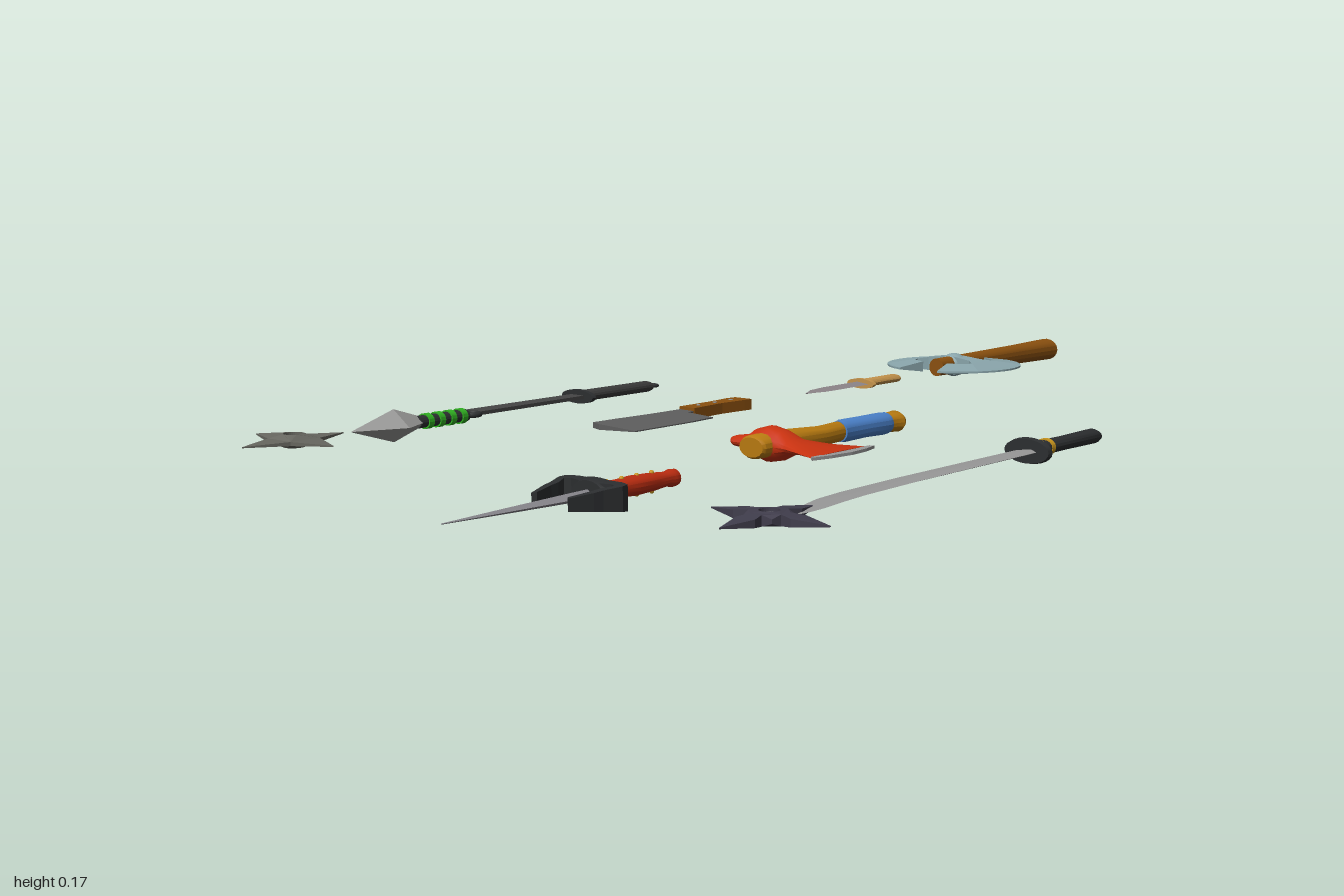
import * as THREE from 'three';
import { toCreasedNormals } from 'three/addons/utils/BufferGeometryUtils.js';

const C = {
  dark: 0x2c2e30, steel: 0x646464, silver: 0x999999, wood: 0x8a500f, ochre: 0xb87a10,
  tan: 0xc4934c, red: 0xc83210, blue: 0x4a80c8, ice: 0x8aa6ac, green: 0x30b022, gold: 0xc8941c,
};

function add(group, name, geo, color) {
  const mesh = new THREE.Mesh(geo, new THREE.MeshStandardMaterial({ color, roughness: 0.7, side: THREE.DoubleSide }));
  mesh.name = name;
  group.add(mesh);
  return mesh;
}

// Elliptic or diamond cross-sections along z; each row is [z, x, halfWidth, halfHeight, ridgeShift]
function loft(rows, sides = 16, crease = 0.7) {
  const pos = [], idx = [];
  for (const [z, x, w, h, ridge = 0] of rows) {
    for (let i = 0; i < sides; i++) {
      const a = (i / sides) * Math.PI * 2;
      pos.push(x + w * Math.cos(a) + ridge * Math.abs(Math.sin(a)), h * Math.sin(a), z);
    }
  }
  const n = rows.length;
  for (let r = 0; r < n - 1; r++) {
    for (let i = 0; i < sides; i++) {
      const a = r * sides + i, b = r * sides + (i + 1) % sides;
      idx.push(a, b, b + sides, a, b + sides, a + sides);
    }
  }
  for (let i = 1; i < sides - 1; i++) {
    const e = (n - 1) * sides;
    idx.push(0, i + 1, i, e, e + i, e + i + 1);
  }
  const g = new THREE.BufferGeometry();
  g.setAttribute('position', new THREE.Float32BufferAttribute(pos, 3));
  g.setIndex(idx);
  return toCreasedNormals(g, crease);
}

// Flat plate in the xz plane; thin(x, z) gives an optional half thickness at each corner
function plate(shape, half, thin) {
  const g = new THREE.ExtrudeGeometry(shape, { depth: 2 * half, bevelEnabled: false, curveSegments: 16 });
  g.translate(0, 0, -half).rotateX(Math.PI / 2);
  if (thin) {
    const p = g.attributes.position;
    for (let i = 0; i < p.count; i++) p.setY(i, Math.sign(p.getY(i)) * thin(p.getX(i), p.getZ(i)));
    g.computeVertexNormals();
  }
  return g;
}
const outline = (pts) => new THREE.Shape(pts.map(([x, z]) => new THREE.Vector2(x, z)));
const ring = (r, tube, z) => new THREE.TorusGeometry(r, tube, 8, 24).rotateX(Math.PI / 2).translate(0, 0, z);

export function createModel() {
  const model = new THREE.Group();
  const item = (name, x, y, z) => {
    const g = new THREE.Group();
    g.name = name;
    g.position.set(x, y, z);
    model.add(g);
    return g;
  };

  // Small knife
  const knife = item('smallKnife', -0.272, 0.054, -0.735);
  add(knife, 'knifeHandle', loft([[-0.143, 0, 0.015, 0.008], [-0.135, 0, 0.02, 0.01], [-0.07, 0, 0.018, 0.01], [0, 0, 0.02, 0.01]]), C.tan);
  add(knife, 'knifeGuard', loft([[-0.006, 0, 0.04, 0.012], [0.006, 0, 0.04, 0.012]]), C.tan);
  add(knife, 'knifeBlade', loft([[0, 0, 0.026, 0.004, -0.01], [0.12, 0.001, 0.028, 0.004, -0.01],
    [0.18, 0.005, 0.023, 0.003], [0.235, 0.012, 0.001, 0.001]], 4, 0.1), 0x8c8488);

  // Double-bladed axe
  const battle = item('doubleAxe', 0.09, 0.141, -0.597);
  add(battle, 'battleAxeHandle', loft([[-0.403, -0.004, 0.031, 0.025], [-0.385, -0.004, 0.029, 0.025], [-0.25, -0.002, 0.022, 0.023],
    [-0.05, 0, 0.02, 0.021], [0.07, 0, 0.019, 0.02]]), C.wood);
  for (const s of [1, -1]) {
    const pts = [[0.01, -0.018], [0.055, -0.022], [0.074, -0.038], [0.068, -0.055], [0.032, -0.075], [0.05, -0.14]];
    const arc = [];
    for (let i = 1; i < 16; i++) {
      const a = (-70 + i * 8.75) * Math.PI / 180;
      arc.push([0.15 * Math.cos(a), 0.15 * Math.sin(a)]);
    }
    const half = [...pts, ...arc, ...pts.map(([x, z]) => [x, -z]).reverse()];
    add(battle, 'battleAxeBlade', plate(outline(half.map(([x, z]) => [s * x, z])), 0.02,
      (x, z) => 0.002 + 0.021 * Math.max(0, 1 - Math.hypot(x, z) / 0.15)), C.ice);
  }
  add(battle, 'battleAxeBoss', new THREE.SphereGeometry(1, 20, 12).scale(0.03, 0.026, 0.033), C.ice);

  // Straight sword
  const straight = item('straightSword', -0.638, 0.054, -0.128);
  add(straight, 'straightPommelRing', ring(0.013, 0.004, -0.25), C.dark);
  add(straight, 'straightGrip', loft([[-0.238, 0, 0.018, 0.011], [-0.23, 0, 0.02, 0.013], [0, 0, 0.02, 0.013]]), 0x3c3c3c);
  add(straight, 'straightGuard', loft([[-0.006, 0, 0.05, 0.016], [0.006, 0, 0.05, 0.016]], 20), C.dark);
  add(straight, 'straightBlade', plate(outline([[-0.02, 0], [0.022, 0], [0.032, 0.48], [0.03, 0.485], [-0.018, 0.465]]), 0.004), 0x454545);
  add(straight, 'straightEdge', plate(outline([[-0.02, 0], [-0.018, 0.478], [-0.026, 0.465], [-0.022, 0]]), 0.002), C.silver);
  add(straight, 'straightTip', plate(outline([[-0.018, 0.46], [0.03, 0.48], [0.033, 0.498], [-0.026, 0.472]]), 0.002), C.silver);

  // Cleaver
  const cleaver = item('cleaver', -0.27, 0.054, -0.09);
  add(cleaver, 'cleaverHandle', plate(outline([[-0.022, -0.192], [0.025, -0.192], [0.024, -0.17], [0.018, -0.1],
    [0.024, 0], [-0.02, 0], [-0.02, -0.1], [-0.026, -0.165]]), 0.012), C.wood);
  for (const z of [-0.15, -0.095, -0.04]) {
    add(cleaver, 'cleaverRivet', new THREE.CylinderGeometry(0.005, 0.005, 0.027, 12).translate(0, 0, z), C.silver);
  }
  add(cleaver, 'cleaverBlade', plate(outline([[-0.018, -0.005], [0.02, -0.005], [0.024, 0.02], [0.096, 0.022], [0.102, 0.1],
    [0.101, 0.272], [0, 0.274], [-0.03, 0.262], [-0.028, 0.2], [-0.02, 0.09]]), 0.005,
    (x) => 0.001 + 0.005 * Math.min(1, (0.105 - x) / 0.1)), 0x5e5e5e);

  // Red hatchet
  const hatchet = item('redHatchet', 0.15, 0.053, 0);
  add(hatchet, 'hatchetHandle', loft([[-0.295, 0.002, 0.022, 0.018], [-0.285, 0.002, 0.027, 0.023], [-0.265, 0, 0.023, 0.021],
    [-0.24, -0.002, 0.022, 0.02], [-0.1, -0.004, 0.022, 0.021], [-0.02, 0.005, 0.021, 0.021], [0.06, -0.006, 0.027, 0.024],
    [0.11, -0.01, 0.033, 0.025], [0.175, -0.009, 0.034, 0.024], [0.182, -0.009, 0.03, 0.02]]), C.ochre);
  add(hatchet, 'hatchetGrip', loft([[-0.25, 0, 0.025, 0.023], [-0.235, 0, 0.028, 0.024], [-0.18, -0.004, 0.026, 0.023],
    [-0.105, -0.003, 0.026, 0.024], [-0.09, -0.001, 0.024, 0.022]]), C.blue);
  add(hatchet, 'hatchetHead', loft([[-0.098, -0.128, 0.012, 0.008], [-0.088, -0.128, 0.021, 0.011], [-0.055, -0.118, 0.03, 0.016],
    [-0.042, -0.117, 0.039, 0.028], [-0.01, -0.117, 0.04, 0.037], [0.025, -0.117, 0.038, 0.03], [0.05, -0.117, 0.038, 0.016],
    [0.1, -0.117, 0.06, 0.009], [0.165, -0.117, 0.092, 0.004]], 16, 0.5).rotateY(Math.PI / 2), C.red);
  add(hatchet, 'hatchetEdge', plate(outline([[0.163, 0.025], [0.172, 0.02], [0.182, 0.06], [0.186, 0.11], [0.18, 0.165],
    [0.168, 0.213], [0.16, 0.207]]), 0.003), C.silver);

  // Curved sword: the blade sweeps to one side near its tip
  const curved = item('curvedSword', 0.583, 0.054, -0.13);
  add(curved, 'curvedGrip', loft([[-0.248, 0, 0.018, 0.012], [-0.24, 0, 0.02, 0.015], [-0.12, 0, 0.018, 0.014], [0, 0, 0.021, 0.015]]), C.dark);
  for (const z of [-0.06, -0.03]) add(curved, 'curvedGripBand', loft([[z - 0.006, 0, 0.021, 0.017], [z + 0.006, 0, 0.021, 0.017]]), C.gold);
  add(curved, 'curvedGuard', loft([[-0.012, 0, 0.042, 0.02], [-0.002, 0, 0.052, 0.026], [0.01, 0, 0.05, 0.024]], 24), C.dark);
  add(curved, 'curvedBlade', loft([[0, 0, 0.023, 0.005, 0.01], [0.2, 0.001, 0.024, 0.005, 0.01], [0.4, 0.003, 0.025, 0.005, 0.01],
    [0.58, 0.01, 0.026, 0.004, 0.01], [0.66, 0.019, 0.026, 0.004, 0.008], [0.72, 0.032, 0.022, 0.003, 0.005],
    [0.755, 0.042, 0.014, 0.002], [0.785, 0.053, 0.001, 0.001]], 4, 0.1), C.silver);

  // Four-pointed throwing stars; quarter is the outline of one arm
  const star = (name, x, quarter, half, hole, color) => {
    const g = item(name, x, 0.054, 0.7);
    const pts = [];
    for (let k = 0; k < 4; k++) {
      const c = Math.round(Math.cos(k * Math.PI / 2)), s = Math.round(Math.sin(k * Math.PI / 2));
      for (const [u, v] of quarter) pts.push([u * c - v * s, u * s + v * c]);
    }
    const shape = outline(pts);
    shape.holes.push(new THREE.Path().absarc(0, 0, hole, 0, Math.PI * 2, true));
    add(g, 'starBody', plate(shape, half, (u, v) => {
      const ridge = Math.min(Math.abs(u), Math.abs(v)) > 0.02 ? 0.35 : 1;
      return 0.001 + half * ridge * Math.max(0, 1 - Math.hypot(u, v) / 0.126);
    }), color);
    add(g, 'starRim', ring(hole + 0.003, 0.004, 0).scale(1, Math.min(2, half / 0.005), 1), color);
  };
  star('plainStar', -0.619, [[0.125, 0], [0.036, 0.036]], 0.015, 0.021, 0x66665f);
  star('darkStar', 0.612, [[0.034, -0.012], [0.06, -0.02], [0.125, 0], [0.06, 0.02], [0.034, 0.012], [0.03, 0.03]], 0.012, 0.018, 0x403d4c);

  // Throwing dagger with ring
  const dagger = item('throwingDagger', -0.234, 0.128, 0.7);
  add(dagger, 'daggerRing', ring(0.017, 0.005, -0.127), C.dark);
  add(dagger, 'daggerGrip', loft([[-0.112, 0, 0.015, 0.012], [0.01, 0, 0.015, 0.012]]), C.dark);
  for (let i = 0; i < 4; i++) {
    const z = -0.098 + i * 0.028;
    add(dagger, 'daggerGripBand', loft([[z - 0.006, 0, 0.018, 0.015], [z + 0.006, 0, 0.018, 0.015]]), C.green);
  }
  add(dagger, 'daggerBlade', loft([[0, 0, 0.012, 0.01], [0.065, 0, 0.045, 0.031], [0.163, 0, 0.001, 0.001]], 4, 0.1), 0x9a9a98);

  // Pronged dagger
  const prong = item('prongedDagger', 0.16, 0.03, 0.64);
  add(prong, 'prongedHandle', loft([[-0.22, 0, 0.01, 0.009], [-0.213, 0, 0.017, 0.016], [-0.2, 0, 0.018, 0.017], [-0.188, 0, 0.014, 0.014],
    [-0.15, 0, 0.021, 0.017], [-0.1, 0, 0.024, 0.019], [-0.06, 0, 0.021, 0.017], [0, 0, 0.024, 0.019]]), 0xb92c10);
  for (const z of [-0.15, -0.11, -0.07, -0.03]) {
    for (const s of [1, -1]) add(prong, 'handleStud', new THREE.SphereGeometry(0.005, 10, 8).translate(0, s * 0.017, z), C.gold);
  }
  add(prong, 'prongedGuard', loft([[-0.016, 0, 0.045, 0.026], [0, 0, 0.05, 0.03], [0.018, 0, 0.04, 0.026]], 20), C.dark);
  for (const s of [1, -1]) {
    const claw = [[0, -0.014], [0.055, -0.015], [0.076, -0.006], [0.079, 0.01], [0.066, 0.045], [0.062, 0.065], [0.045, 0.112],
      [0.038, 0.105], [0.048, 0.06], [0.05, 0.04], [0.062, 0.014], [0.05, 0.008], [0, 0.018]];
    add(prong, 'guardProng', plate(outline(claw.map(([x, z]) => [s * x, z])), 0.022, (x, z) => 0.024 - 0.11 * Math.max(0, z)), C.dark);
  }
  add(prong, 'prongedBlade', loft([[0, 0, 0.021, 0.01], [0.06, 0, 0.019, 0.009], [0.22, 0, 0.01, 0.005], [0.36, 0, 0.001, 0.001]], 4, 0.1), 0x88868c);

  return model;
}
